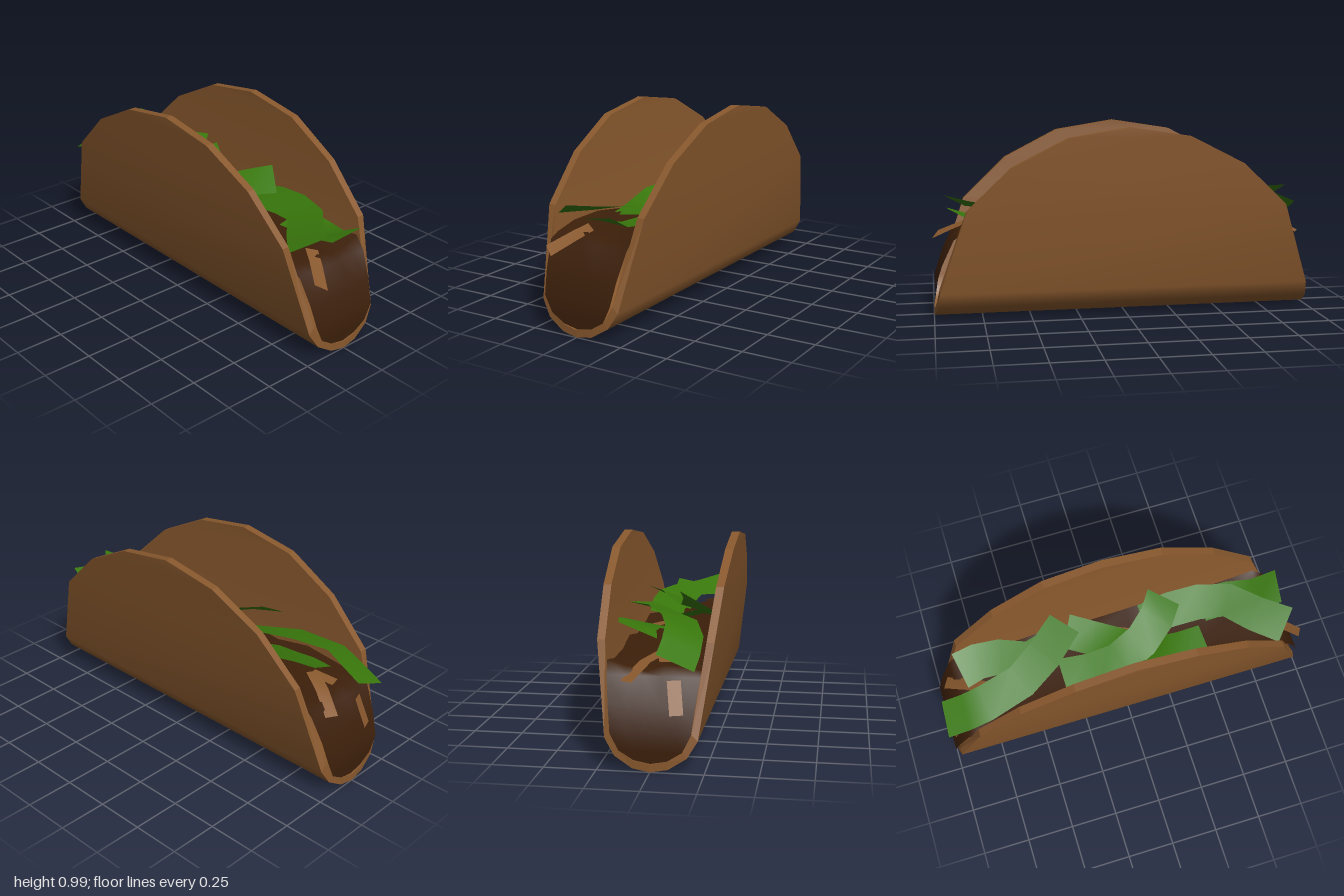
import * as THREE from 'three';

const corn = new THREE.MeshStandardMaterial({ color: 0x88582d, side: THREE.DoubleSide });
corn.name = 'toastedCorn';
const meatBrown = new THREE.MeshStandardMaterial({ color: 0x3c1f0a });
meatBrown.name = 'meatBrown';
const leafGreen = new THREE.MeshStandardMaterial({ color: 0x39780c, side: THREE.DoubleSide });
leafGreen.name = 'leafGreen';

// Skin a grid of points, given as rows of equal length.
function sheet(rows, flat = false) {
  const n = rows[0].length, index = [];
  for (let r = 0; r < rows.length - 1; r++) {
    for (let c = 0; c < n - 1; c++) {
      const a = r * n + c;
      index.push(a, a + 1, a + n, a + 1, a + n + 1, a + n);
    }
  }
  let geo = new THREE.BufferGeometry();
  geo.setAttribute('position', new THREE.Float32BufferAttribute(rows.flat(2), 3));
  geo.setIndex(index);
  if (flat) geo = geo.toNonIndexed();
  geo.computeVertexNormals();
  return geo;
}

function addMesh(parent, name, geo, material) {
  const mesh = new THREE.Mesh(geo, material);
  mesh.name = name;
  parent.add(mesh);
}

// Half profile of the folded disc: outer x, outer y, inner x, inner y, half length.
const half = [
  [0, 0.003, 0, 0.04, 1.0],
  [0.083, 0.017, 0.078, 0.055, 0.995],
  [0.168, 0.07, 0.148, 0.1, 0.985],
  [0.217, 0.15, 0.187, 0.18, 0.97],
  [0.275, 0.58, 0.237, 0.58, 0.83],
  [0.292, 0.8, 0.253, 0.8, 0.6],
  [0.307, 0.945, 0.265, 0.945, 0.315],
  [0.307, 0.995, 0.265, 0.995, 0],
];

function buildShell() {
  const shell = new THREE.Group();
  shell.name = 'shell';
  const mirrored = half.slice(1).reverse().map(([a, b, c, d, z]) => [-a, b, -c, d, z]);
  const profile = [...mirrored, ...half];
  const edge = (k, s) => profile.map((p) => [p[k], p[k + 1], s * p[4]]);
  const outF = edge(0, 1), outB = edge(0, -1), inF = edge(2, 1), inB = edge(2, -1);
  addMesh(shell, 'outerShell', sheet([outB, outF]), corn);
  addMesh(shell, 'innerShell', sheet([inF, inB]), corn);
  addMesh(shell, 'frontRim', sheet([outF, inF], true), corn);
  addMesh(shell, 'backRim', sheet([inB, outB], true), corn);
  return shell;
}

// Inside half width of the shell at height y.
function innerWidth(y) {
  for (let i = 1; i < half.length; i++) {
    const [, , x0, y0] = half[i - 1], [, , x1, y1] = half[i];
    if (y <= y1) return x0 + (x1 - x0) * Math.max(0, (y - y0) / (y1 - y0));
  }
  return 0.26;
}

// Meat: sloping end faces joined by a lumpy top.
function meatGeometry() {
  const end = [[0.04, 0.99], [0.055, 0.99], [0.1, 0.992], [0.18, 0.993], [0.3, 0.955], [0.43, 0.895]];
  const top = [0.84, 0.7, 0.5, 0.3, 0.1, -0.1, -0.3, -0.5, -0.7, -0.84].map((z) => [0.455, z]);
  const stations = [...end, ...top, ...end.map(([y, z]) => [y, -z]).reverse()];
  return sheet(stations.map(([y, z]) => [-1, -0.6, -0.2, 0.2, 0.6, 1].map((u) => {
    const lump = y > 0.44 ? 0.02 * Math.sin(z * 11 + u * 5) + 0.015 * u * u : 0;
    return [u * innerWidth(y + lump), y + lump, z];
  })));
}

// Thin ribbon along points [x, y, z, tilt]; tilt raises one edge and lowers the other.
function ribbonGeometry(points, width) {
  const rows = points.map((p, i) => {
    const a = points[Math.max(0, i - 1)], b = points[Math.min(points.length - 1, i + 1)];
    const dx = b[0] - a[0], dz = b[2] - a[2], len = Math.hypot(dx, dz);
    const ox = (dz / len) * width / 2, oz = (-dx / len) * width / 2, t = p[3] || 0;
    return [[p[0] + ox, p[1] + t, p[2] + oz], [p[0] - ox, p[1] - t, p[2] - oz]];
  });
  return sheet(rows);
}

// Strips run from back to front; positive tilt raises the +x edge.
const lettuce = [
  [[-0.115, 0.515, -0.985, 0.035], [-0.125, 0.565, -0.87, 0.035], [-0.125, 0.62, -0.76, 0.03],
    [-0.07, 0.64, -0.55, 0.02], [0.03, 0.65, -0.4, 0.03], [0.165, 0.655, -0.25, 0.01]],
  [[0.08, 0.63, -0.84, 0.04], [0.1, 0.64, -0.74, 0.03], [0.1, 0.62, -0.62, 0.02],
    [0.06, 0.58, -0.47, 0.02], [0.1, 0.56, -0.34, 0.02]],
  [[-0.13, 0.68, -0.34, 0.05], [-0.125, 0.63, -0.18, 0.04], [-0.09, 0.58, -0.03, 0.03],
    [-0.02, 0.58, 0.12, 0.03], [0.07, 0.61, 0.23, 0.035], [0.17, 0.62, 0.3, 0.04]],
  [[0.13, 0.63, -0.25, 0.02], [0.06, 0.6, -0.12, 0.02], [0, 0.54, 0.05, -0.03],
    [-0.07, 0.51, 0.2, -0.03], [-0.09, 0.49, 0.32, 0.01], [-0.08, 0.47, 0.46, 0.01]],
  [[0.11, 0.51, 0.17, 0.02], [0.12, 0.54, 0.32, 0.03], [0.11, 0.56, 0.48, 0.03],
    [0.07, 0.57, 0.63, 0.02], [-0.05, 0.57, 0.75, 0.03], [-0.16, 0.58, 0.88, 0.04]],
  [[0.11, 0.5, 0.5, 0.02], [0.11, 0.5, 0.66, 0.01], [0.08, 0.52, 0.79, 0], [0.065, 0.575, 0.92, 0.015]],
];

const shreds = [
  [[-0.165, 0.4, 0.985, 0.018], [-0.09, 0.46, 0.87, 0.014], [-0.05, 0.49, 0.8, 0.01]],
  [[0.12, 0.41, -0.94], [0.05, 0.48, -0.82], [-0.02, 0.505, -0.7]],
  [[-0.05, 0.48, -0.82], [-0.02, 0.5, -0.7]],
  [[-0.12, 0.27, -0.98], [-0.1, 0.42, -0.925]],
  [[0.13, 0.5, -0.07], [0.06, 0.49, 0.1]],
];

export function createModel() {
  const model = new THREE.Group();
  model.name = 'taco';
  model.add(buildShell());
  addMesh(model, 'meatFilling', meatGeometry(), meatBrown);
  lettuce.forEach((p) => addMesh(model, 'lettuceStrip', ribbonGeometry(p, 0.178), leafGreen));
  shreds.forEach((p) => addMesh(model, 'cheeseShred', ribbonGeometry(p, 0.065), corn));
  return model;
}
